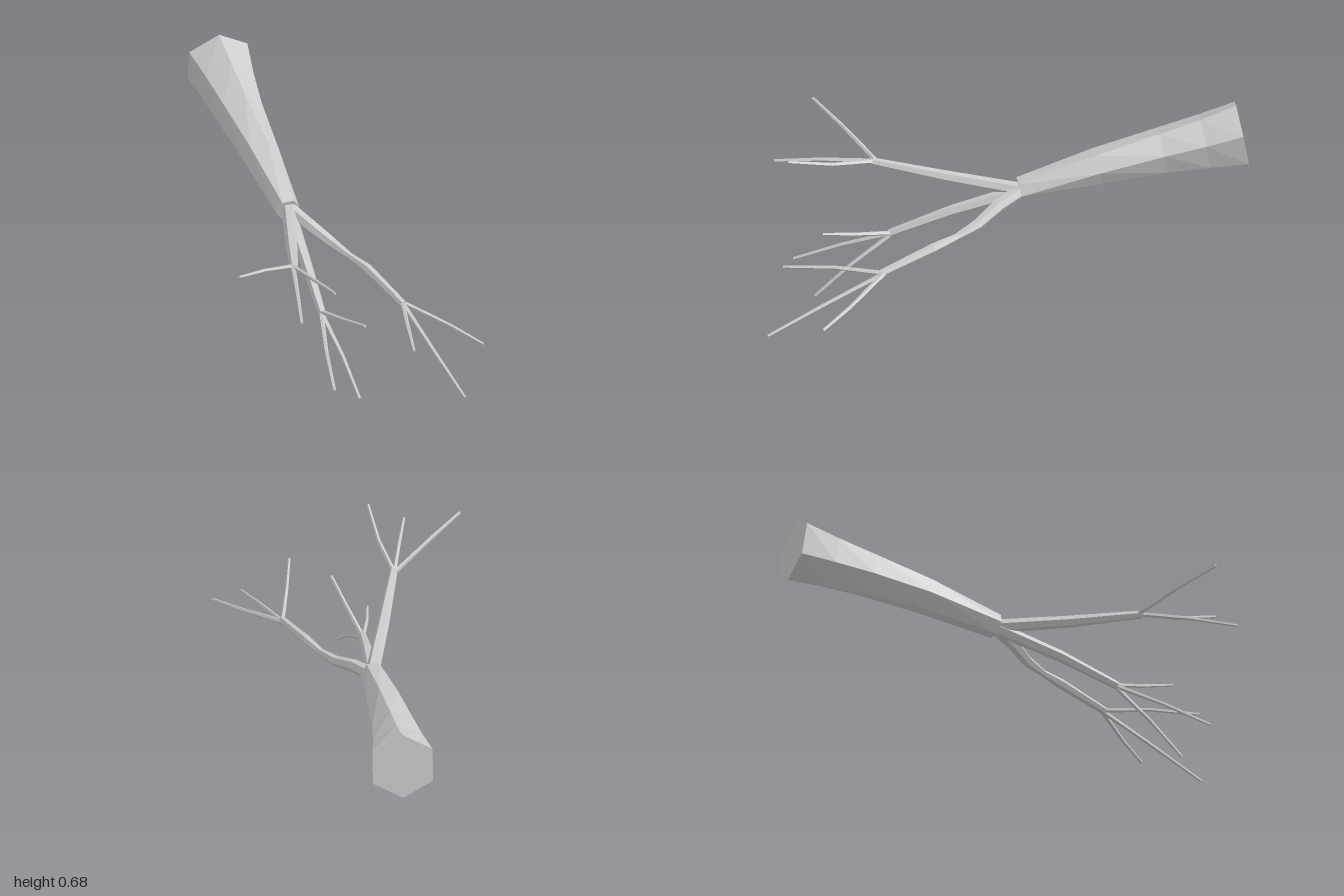
import * as THREE from 'three';

const material = new THREE.MeshStandardMaterial({ color: 0xcccccc, flatShading: true });

// Faceted limb through points [x, y, z, radius, angle in degrees], closed at both ends
function limb(name, points, sides) {
  const centres = points.map(p => new THREE.Vector3(p[0], p[1], p[2]));
  const pos = [], index = [];
  points.forEach((p, i) => {
    const tangent = centres[Math.min(i + 1, points.length - 1)].clone()
      .sub(centres[Math.max(i - 1, 0)]).normalize();
    const right = new THREE.Vector3(0, 1, 0).cross(tangent).normalize();
    const up = tangent.clone().cross(right);
    for (let j = 0; j < sides; j++) {
      const a = THREE.MathUtils.degToRad(p[4] ?? 0) + (j / sides) * Math.PI * 2;
      const v = centres[i].clone()
        .addScaledVector(right, Math.cos(a) * p[3])
        .addScaledVector(up, Math.sin(a) * p[3]);
      pos.push(v.x, v.y, v.z);
    }
  });
  const last = (points.length - 1) * sides;
  for (let i = 0; i < points.length - 1; i++) {
    for (let j = 0; j < sides; j++) {
      const a = i * sides + j, b = i * sides + (j + 1) % sides;
      index.push(a, b, b + sides, a, b + sides, a + sides);
    }
  }
  for (let j = 1; j < sides - 1; j++) {
    index.push(0, j + 1, j, last, last + j, last + j + 1);
  }
  let geometry = new THREE.BufferGeometry();
  geometry.setAttribute('position', new THREE.Float32BufferAttribute(pos, 3));
  geometry.setIndex(index);
  geometry = geometry.toNonIndexed();
  geometry.computeVertexNormals();
  const mesh = new THREE.Mesh(geometry, material);
  mesh.name = name;
  return mesh;
}

// Each branch: its path with radii, then the middle and end of every twig
const branches = [
  {
    name: 'rightBranch',
    path: [[-0.045, 0.395, -0.09, 0.028], [-0.125, 0.44, 0.2, 0.024], [-0.2, 0.495, 0.48, 0.016]],
    twigs: [
      [[-0.35, 0.568, 0.57], [-0.487, 0.624, 0.67]],
      [[-0.245, 0.497, 0.67], [-0.287, 0.485, 0.86]],
      [[-0.16, 0.53, 0.65], [-0.14, 0.58, 0.83]],
    ],
  },
  {
    name: 'lowerBranch',
    path: [[-0.045, 0.39, -0.09, 0.028], [-0.06, 0.315, 0.19, 0.023], [-0.07, 0.23, 0.435, 0.016]],
    twigs: [
      [[-0.034, 0.12, 0.6], [-0.01, 0.007, 0.745]],
      [[-0.11, 0.17, 0.62], [-0.135, 0.107, 0.81]],
      [[-0.025, 0.275, 0.57], [0.02, 0.327, 0.72]],
    ],
  },
  {
    name: 'leftBranch',
    path: [
      [-0.04, 0.395, -0.09, 0.028], [0.01, 0.37, 0.01, 0.027], [0.075, 0.333, 0.11, 0.022],
      [0.12, 0.318, 0.2, 0.014], [0.165, 0.31, 0.3, 0.02], [0.24, 0.268, 0.525, 0.015],
    ],
    twigs: [
      [[0.39, 0.23, 0.675], [0.485, 0.202, 0.8]],
      [[0.295, 0.18, 0.77], [0.347, 0.1, 0.998]],
      [[0.2, 0.292, 0.7], [0.165, 0.297, 0.905]],
    ],
  },
];

export function createModel() {
  const model = new THREE.Group();
  model.name = 'tree';

  // Trunk with a flared base, twisting gently towards the fork
  model.add(limb('trunk', [
    [-0.06, 0.548, -0.98, 0.138, 90], [-0.064, 0.524, -0.83, 0.114, 85],
    [-0.066, 0.5, -0.66, 0.094, 80], [-0.06, 0.46, -0.4, 0.074, 72],
    [-0.05, 0.394, -0.086, 0.05, 60],
  ], 6));

  for (const { name, path, twigs } of branches) {
    const group = new THREE.Group();
    group.name = name;
    group.add(limb('limb', path, 6));
    // Twigs spread from just inside the branch tip
    const [x, y, z] = path[path.length - 1];
    for (const [mid, end] of twigs) {
      group.add(limb('twig', [[x, y, z - 0.015, 0.01], [...mid, 0.008], [...end, 0.006]], 5));
    }
    model.add(group);
  }
  return model;
}
